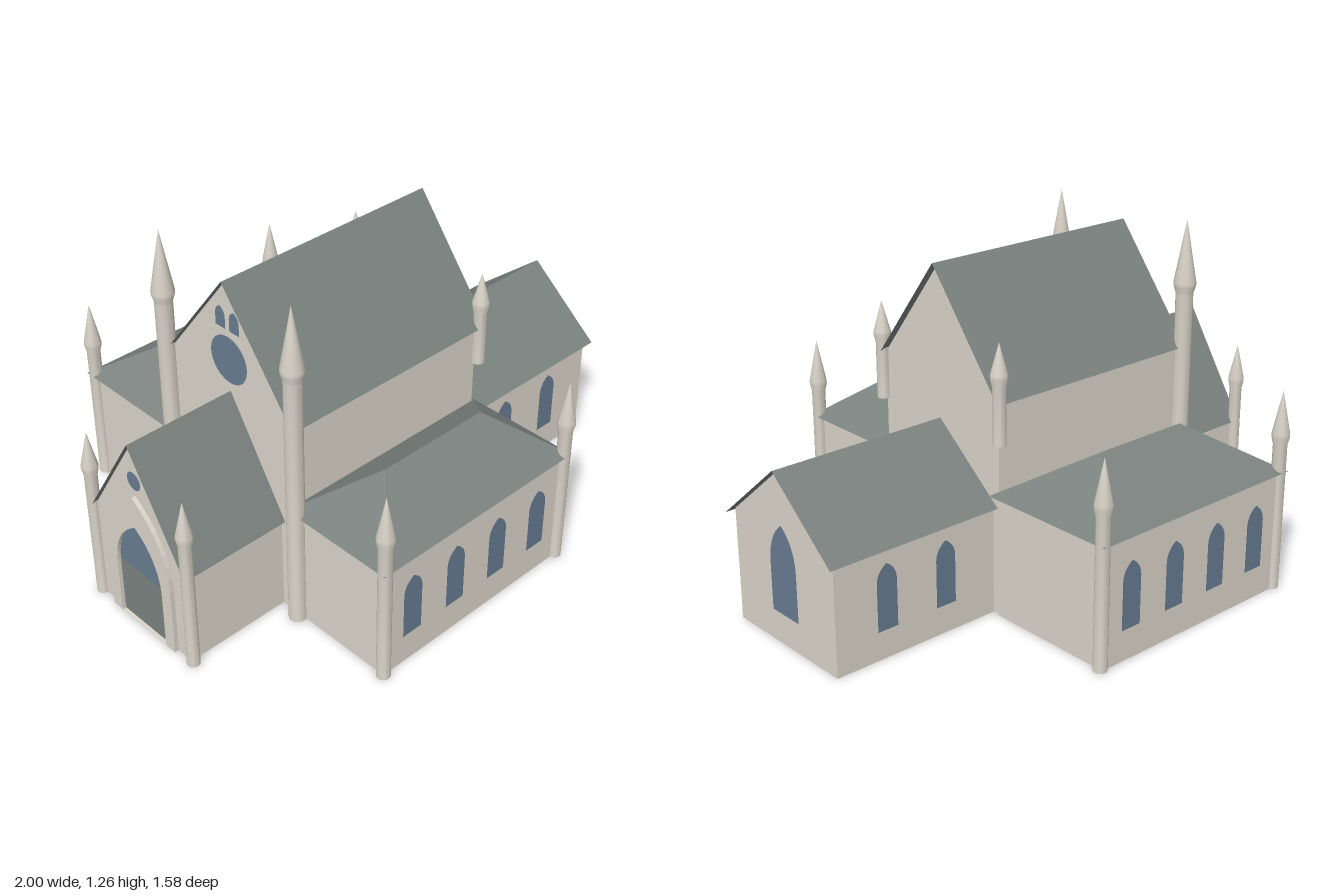
import * as THREE from 'three';
import { toCreasedNormals, mergeGeometries } from 'three/addons/utils/BufferGeometryUtils.js';

const stone = new THREE.MeshStandardMaterial({ name: 'stone', color: 0xdcd6cb, side: THREE.DoubleSide });
const slate = new THREE.MeshStandardMaterial({ name: 'slate', color: 0x7b8380, side: THREE.DoubleSide });
const glass = new THREE.MeshStandardMaterial({ name: 'glass', color: 0x697d92 });

const GAP = 0.002; // painted details sit this far off the wall

export function createModel() {
  const root = new THREE.Group();
  root.name = 'church';

  const add = (name, geometry, material, x = 0, y = 0, z = 0, turn = 0) => {
    const mesh = new THREE.Mesh(geometry, material);
    mesh.name = name;
    mesh.position.set(x, y, z);
    mesh.rotation.y = turn;
    root.add(mesh);
  };

  const triangles = (points) => {
    const g = new THREE.BufferGeometry();
    g.setAttribute('position', new THREE.Float32BufferAttribute(points.flat(), 3));
    g.computeVertexNormals();
    return g;
  };

  // Flat sheet between two (z, y) points, drawn out along x
  const sheet = ([za, ya], [zb, yb], x0, x1) => {
    const a = [x0, ya, za], b = [x1, ya, za], c = [x1, yb, zb], d = [x0, yb, zb];
    return triangles([a, b, c, a, c, d]);
  };

  // Four thin walls, open below, with end walls rising to a peak
  const walls = (x0, x1, half, top, peak) => {
    const outline = new THREE.Shape([[-half, 0], [half, 0], [half, top], [0, peak], [-half, top]]
      .map(([x, y]) => new THREE.Vector2(x, y)));
    const end = (x, turn) => {
      const g = new THREE.ShapeGeometry(outline).toNonIndexed();
      g.deleteAttribute('uv');
      return g.rotateY(turn).translate(x, 0, 0);
    };
    return mergeGeometries([
      sheet([half, 0], [half, top], x0, x1), sheet([-half, top], [-half, 0], x0, x1),
      end(x1, Math.PI / 2), end(x0, -Math.PI / 2),
    ]);
  };

  // Gabled walls under two thin roof slopes
  const gabledHall = (name, zc, wall, roof) => {
    const slope = (roof.ridge - roof.eave) / roof.half;
    const peak = roof.ridge - 0.003;
    add(name + 'Walls', walls(wall.x0, wall.x1, wall.half, peak - slope * wall.half, peak), stone, 0, 0, zc);
    add(name + 'Roof', mergeGeometries([
      sheet([roof.half, roof.eave], [0, roof.ridge], roof.x0, roof.x1),
      sheet([0, roof.ridge], [-roof.half, roof.eave], roof.x0, roof.x1),
    ]), slate, 0, 0, zc);
  };
  gabledHall('nave', 0.038, { x0: -0.56, x1: 0.305, half: 0.3 },
    { x0: -0.58, x1: 0.333, half: 0.325, eave: 0.785, ridge: 1.203 });
  gabledHall('chancel', 0.043, { x0: 0.306, x1: 0.975, half: 0.276 },
    { x0: 0.3, x1: 1.0, half: 0.298, eave: 0.4, ridge: 0.645 });
  gabledHall('porch', 0.037, { x0: -0.972, x1: -0.561, half: 0.238 },
    { x0: -0.99, x1: -0.555, half: 0.255, eave: 0.37, ridge: 0.777 });

  // Hipped roof: eaves rectangle rising to a ridge from ra to rb
  const hipRoof = (x0, x1, z0, z1, y, ra, rb, rz, ry) => {
    const a = [x0, y, z1], b = [x1, y, z1], c = [x1, y, z0], d = [x0, y, z0];
    const e = [ra, ry, rz], f = [rb, ry, rz];
    return triangles([a, b, f, a, f, e, b, c, f, c, d, e, c, e, f, d, a, e]);
  };

  // Side aisles
  const aisle = (name, z0, z1) =>
    add(name + 'Walls', walls(-0.56, 0.312, (z1 - z0) / 2, 0.45, 0.45), stone, 0, 0, (z0 + z1) / 2);
  aisle('frontAisle', 0.339, 0.762);
  aisle('backAisle', -0.77, -0.263);
  add('frontAisleRoof', hipRoof(-0.58, 0.333, 0.32, 0.78, 0.45, -0.35, 0.105, 0.55, 0.625), slate);
  add('backAisleRoof', hipRoof(-0.58, 0.333, -0.785, -0.24, 0.45, -0.31, 0.065, -0.513, 0.623), slate);

  // Round turrets: shaft, flared collar, cone
  const turret = (name, x, z, r, y0, collar, tip) => {
    const R = r * 1.28;
    const pts = [[0, y0], [r, y0], [r, collar - 0.03], [R, collar], [R, collar + 0.012], [0, tip]]
      .map(([px, py]) => new THREE.Vector2(px, py));
    add(name, toCreasedNormals(new THREE.LatheGeometry(pts, 20), 0.4), stone, x, 0, z);
  };
  for (const [side, naveZ, pinZ, aisleZ, porchZ] of [
    ['front', 0.36, 0.35, 0.76, 0.285], ['back', -0.28, -0.272, -0.76, -0.213]]) {
    turret(side + 'NaveTurret', -0.573, naveZ, 0.032, 0, 1.02, 1.26);
    turret(side + 'NavePinnacle', 0.312, pinZ, 0.024, 0.64, 0.875, 1.0);
    turret(side + 'AisleTurretWest', -0.558, aisleZ, 0.025, 0, 0.58, 0.75);
    turret(side + 'AisleTurretEast', 0.313, aisleZ, 0.025, 0, 0.58, 0.75);
    turret(side + 'PorchTurret', -0.973, porchZ, 0.023, 0, 0.54, 0.685);
  }

  // Pointed arch outline: sill at y0, springing at s, tip at h
  const arch = (half, s, h, y0, Type = THREE.Shape) => {
    const p = new Type();
    p.moveTo(-half, y0);
    p.lineTo(half, y0);
    p.lineTo(half, s);
    p.quadraticCurveTo(half * 0.95, s + (h - s) * 0.65, 0, h);
    p.quadraticCurveTo(-half * 0.95, s + (h - s) * 0.65, -half, s);
    p.closePath();
    return p;
  };
  const pane = (...dims) => new THREE.ShapeGeometry(arch(...dims), 8);

  // Lancet windows on both long sides, one tall window in the east gable
  const aisleWindow = pane(0.042, 0.295, 0.36, 0.115);
  const chancelWindow = pane(0.041, 0.28, 0.345, 0.105);
  for (const [side, turn, aisleZ, chancelZ] of [
    ['front', 0, 0.762 + GAP, 0.319 + GAP], ['back', Math.PI, -0.77 - GAP, -0.233 - GAP]]) {
    for (const x of [-0.43, -0.226, -0.02, 0.186])
      add(side + 'AisleWindow', aisleWindow, glass, x, 0, aisleZ, turn);
    for (const x of [0.52, 0.767])
      add(side + 'ChancelWindow', chancelWindow, glass, x, 0, chancelZ, turn);
  }
  add('eastWindow', pane(0.073, 0.3, 0.445, 0.115), glass, 0.975 + GAP, 0, 0.045, Math.PI / 2);

  // West gable of the nave: round window and a pair of small lancets
  const west = -Math.PI / 2, naveX = -0.56 - GAP, porchX = -0.972 - GAP;
  add('roseWindow', new THREE.CircleGeometry(0.09, 24), glass, naveX, 0.9, 0.038, west);
  for (const dz of [-0.034, 0.034])
    add('gableLancet', pane(0.024, 1.06, 1.095, 1.015), glass, naveX, 0, 0.038 + dz, west);

  // Porch portal: raised arch, door, glazed head and roundel
  const ring = arch(0.168, 0.27, 0.565, 0);
  ring.holes.push(arch(0.12, 0.23, 0.44, 0.001, THREE.Path));
  add('portalArch', new THREE.ExtrudeGeometry(ring, { depth: 0.016, bevelEnabled: false, curveSegments: 8 }),
    stone, -0.972, 0, 0.037, west);
  add('portalDoor', new THREE.PlaneGeometry(0.24, 0.23), slate, porchX, 0.115, 0.037, west);
  add('portalWindow', pane(0.12, 0.231, 0.44, 0.23), glass, porchX, 0, 0.037, west);
  add('porchRoundel', new THREE.CircleGeometry(0.035, 20), glass, porchX, 0.625, 0.037, west);

  return root;
}
